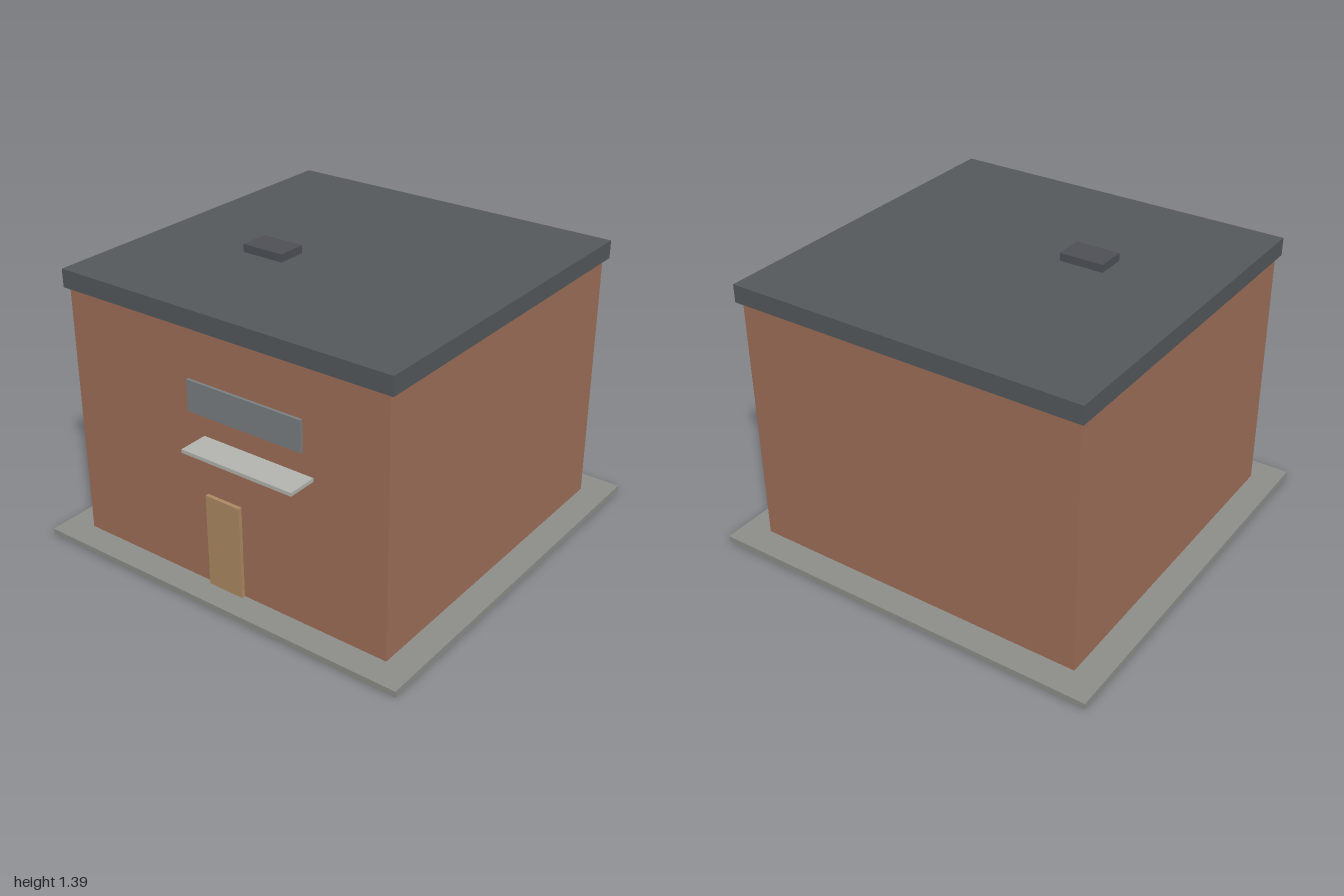
import * as THREE from 'three';

// Box given by its extents along each axis
function block(name, color, [x0, x1], [y0, y1], [z0, z1]) {
  const mesh = new THREE.Mesh(
    new THREE.BoxGeometry(x1 - x0, y1 - y0, z1 - z0),
    new THREE.MeshStandardMaterial({ color })
  );
  mesh.position.set((x0 + x1) / 2, (y0 + y1) / 2, (z0 + z1) / 2);
  mesh.name = name;
  return mesh;
}

export function createModel() {
  const house = new THREE.Group();
  house.name = 'house';

  house.add(
    // Main volume
    block('groundSlab', 0x8e8f8a, [-0.995, 0.995], [0, 0.03], [-1, 0.98]),
    block('walls', 0xa0705a, [-0.857, 0.857], [0.03, 1.27], [-0.86, 0.847]),
    block('roofSlab', 0x55595c, [-0.88, 0.88], [1.27, 1.357], [-0.883, 0.865]),
    block('roofHatch', 0x4e5157, [-0.376, -0.157], [1.357, 1.395], [0.092, 0.237]),

    // Front details: the canopy and panel stand clear of the wall
    block('door', 0xad8a63, [-0.094, 0.094], [0.03, 0.49], [0.847, 0.866]),
    block('canopy', 0xb5b6b0, [-0.09, 0.494], [0.766, 0.783], [0.856, 1]),
    block('windowPanel', 0x7b8083, [-0.039, 0.546], [0.98, 1.124], [0.987, 1])
  );
  return house;
}
